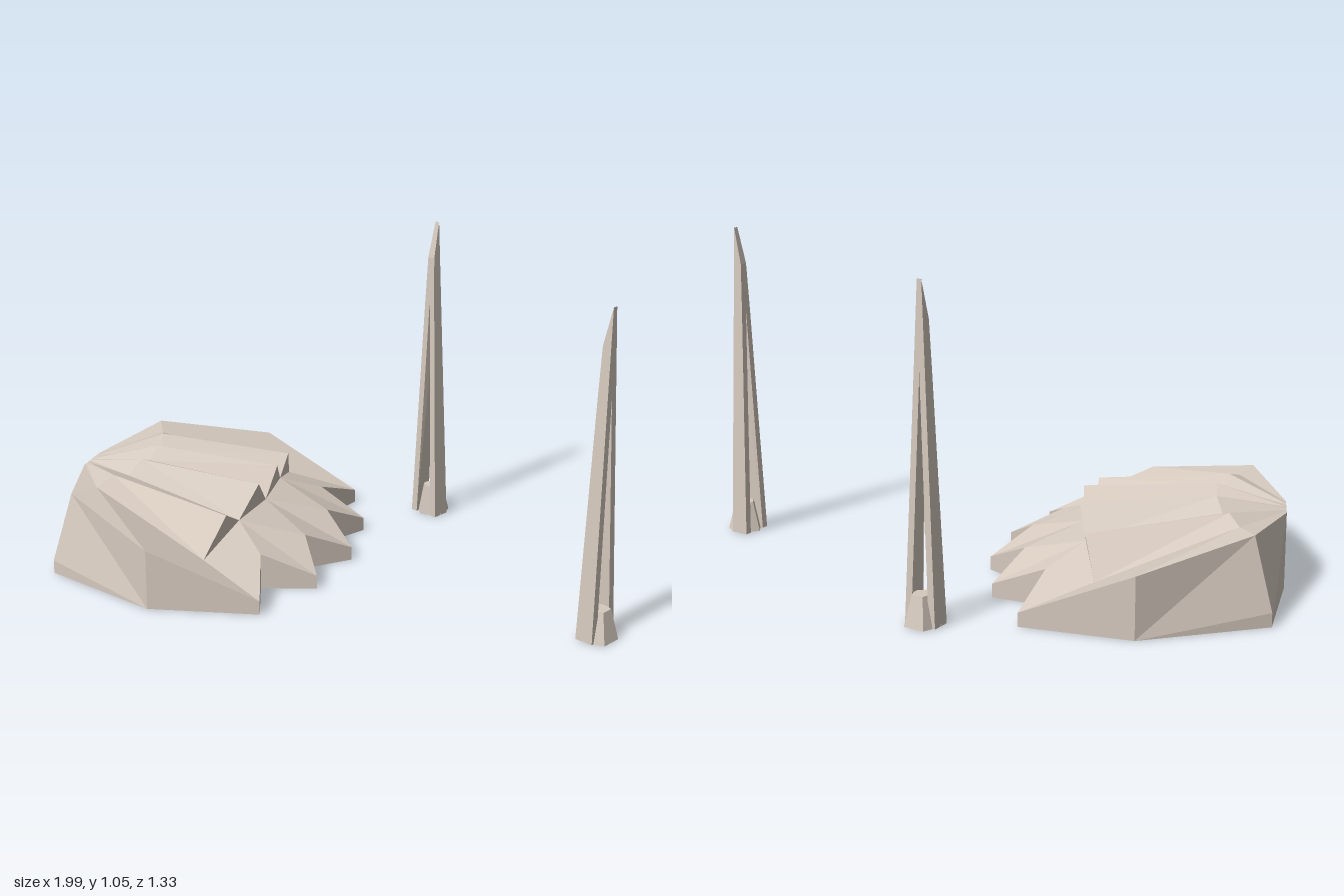
import * as THREE from 'three';

const stone = new THREE.MeshStandardMaterial({ color: 0xd6cabf, flatShading: true, side: THREE.DoubleSide });
stone.name = 'pale stone';

// Flat polygons (lists of [u, y, v] points) to a mesh; mirrored across v = 0 as well
function mirroredFaces(name, faces) {
  const pos = [];
  for (const s of [1, -1]) for (const f of faces) for (let i = 1; i < f.length - 1; i++) {
    const tri = s > 0 ? [f[0], f[i], f[i + 1]] : [f[0], f[i + 1], f[i]];
    for (const [u, y, v] of tri) pos.push(u, y, v * s);
  }
  const g = new THREE.BufferGeometry();
  g.setAttribute('position', new THREE.Float32BufferAttribute(pos, 3));
  g.computeVertexNormals();
  const mesh = new THREE.Mesh(g, stone);
  mesh.name = name;
  return mesh;
}

// Fan-shaped hall with a pleated roof, symmetric about its long axis
function createHall() {
  // fold lines from the axis outward: even ones are valleys to a tip, odd ones ridges to a notch
  const lines = [
    { bend: [0.22, 0.27, 0], end: [0.64, 0.18, 0], eave: [0.945, 0.045, 0] },
    { bend: [0.22, 0.30, 0.07], end: [0.65, 0.27, 0.09], eave: [0.82, 0.12, 0.115] },
    { bend: [0.20, 0.265, 0.14], end: [0.62, 0.18, 0.20], eave: [0.908, 0.045, 0.255] },
    { bend: [0.18, 0.29, 0.21], end: [0.615, 0.235, 0.30], eave: [0.735, 0.12, 0.31] },
    { bend: [0.148, 0.268, 0.279], end: [0.578, 0.12, 0.411], eave: [0.80, 0.045, 0.497] },
  ];
  lines.forEach((l, k) => { l.hub = [0, 0.25, 0.015 * k]; });
  const ground = (p) => [p[0], 0, p[2]];
  const roof = [], walls = [];

  for (let k = 0; k < 4; k++) {
    const a = lines[k], b = lines[k + 1];
    roof.push([a.hub, b.hub, b.bend, a.bend], [a.bend, b.bend, b.end, a.end]);
    // foot of the cliff below the end of each ridge
    const r = k % 2 ? k : k + 1;
    const c0 = lines[r - 1].end, c1 = lines[r + 1].end;
    const foot = c0.map((c, i) => (c + c1[i]) / 2);
    const ridge = lines[r];
    if (r === k + 1) {
      roof.push([a.end, ridge.end, foot], [a.end, foot, ridge.eave], [a.end, ridge.eave, a.eave]);
    } else {
      roof.push([foot, ridge.end, b.end], [foot, b.end, ridge.eave], [ridge.eave, b.end, b.eave]);
    }
    walls.push([ground(a.eave), a.eave, b.eave, ground(b.eave)]);
  }

  // large outer panel and its side walls
  const last = lines[4];
  const crest = [0.102, 0.275, 0.373], side = [0.446, 0.2, 0.569], heel = [0.044, 0.045, 0.41];
  roof.push([last.hub, crest, last.bend], [last.bend, crest, side, last.end], [last.end, side, last.eave]);
  walls.push(
    [ground(last.eave), last.eave, side, ground(side)],
    [ground(side), side, crest, heel, ground(heel)],
    [ground(heel), heel, crest, last.hub, ground(last.hub)],
    [ground(last.hub), last.hub, lines[0].hub, ground(lines[0].hub)],
  );

  // underside
  const rim = [lines[0].hub, last.hub, heel, side, ...lines.map((l) => l.eave).reverse()].map(ground);
  const floor = rim.slice(1).map((p, i) => [[0.4, 0, 0], p, rim[i]]);

  const hall = new THREE.Group();
  hall.name = 'hall';
  hall.add(mirroredFaces('pleatedRoof', roof), mirroredFaces('walls', walls), mirroredFaces('floor', floor));
  hall.position.set(-0.86, 0, 0.314);
  hall.rotation.y = Math.atan2(0.438, 0.899);
  return hall;
}

// Spire of two leaning fins that meet high up, on a small five-sided foot
function createSpire() {
  const spire = new THREE.Group();
  spire.name = 'spire';
  const profile = new THREE.Shape([
    [-0.02, 0], [0.042, 0], [0.028, 0.78], [0.024, 0.935], [-0.004, 1.055], [-0.008, 0.78],
  ].map(([x, y]) => new THREE.Vector2(x, y)));
  const g = new THREE.ExtrudeGeometry(profile, { depth: 1, bevelEnabled: false });
  const p = g.attributes.position;
  for (let i = 0; i < p.count; i++) {
    const d = p.getX(i), y = p.getY(i);
    const inner = Math.max(0, 0.032 * (1 - y / 0.78));
    const outer = 0.055 - 0.047 * y / 1.055;
    p.setXYZ(i, -(p.getZ(i) > 0.5 ? outer : inner), y, d);
  }
  g.computeVertexNormals();
  for (const s of [1, -1]) {
    const fin = new THREE.Mesh(g, stone);
    fin.name = s > 0 ? 'rightFin' : 'leftFin';
    fin.scale.x = s;
    spire.add(fin);
  }
  const foot = new THREE.Mesh(new THREE.CylinderGeometry(0.034, 0.06, 0.1, 5), stone);
  foot.name = 'foot';
  foot.position.set(0, 0.05, -0.005);
  spire.add(foot);
  return spire;
}

export function createModel() {
  const model = new THREE.Group();
  model.name = 'hallWithSpires';
  model.add(createHall());
  const backSpire = createSpire();
  backSpire.name = 'backSpire';
  backSpire.position.set(-0.108, 0, -0.615);
  const sideSpire = createSpire();
  sideSpire.name = 'sideSpire';
  sideSpire.position.set(0.935, 0, -0.2);
  sideSpire.rotation.y = -Math.PI / 2;
  model.add(backSpire, sideSpire);
  return model;
}
